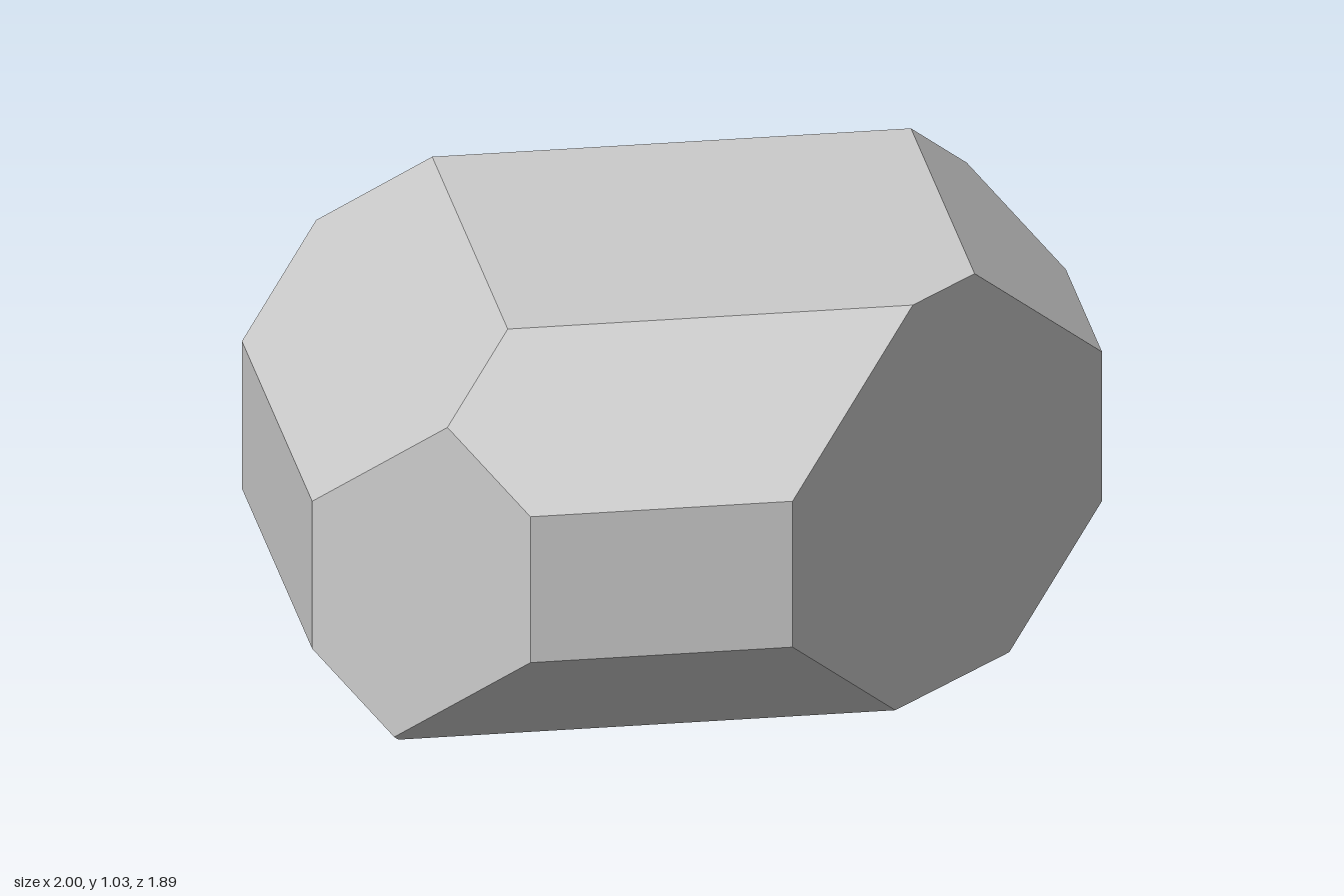
import * as THREE from 'three';

// Facets of the block as [normal x, y, z, offset]: points inside satisfy n . p <= offset
const facets = [
  // axis-aligned sides
  [1, 0, 0, 1], [-1, 0, 0, 1],
  [0, 1, 0, 1.027], [0, -1, 0, 0],
  [0, 0, 1, 0.943], [0, 0, -1, 0.943],
  // 45 degree cuts between sides and top / bottom
  [1, 1, 0, 1.656], [-1, 1, 0, 1.567], [1, -1, 0, 0.73], [-1, -1, 0, 0.815],
  // 45 degree cuts between front / back and top / bottom
  [0, 1, 1, 1.62], [0, 1, -1, 1.579], [0, -1, 1, 0.644], [0, -1, -1, 0.623],
  // 45 degree cuts on the upright corners
  [1, 0, 1, 1.042], [-1, 0, 1, 1.484], [1, 0, -1, 1.506], [-1, 0, -1, 1.58],
].map(([x, y, z, d]) => ({ n: new THREE.Vector3(x, y, z), d }));

// Point shared by three facets, or null when they do not meet in one point
function meet(a, b, c) {
  const bc = b.n.clone().cross(c.n);
  const det = a.n.dot(bc);
  if (Math.abs(det) < 1e-6) return null;
  return bc.multiplyScalar(a.d)
    .addScaledVector(c.n.clone().cross(a.n), b.d)
    .addScaledVector(a.n.clone().cross(b.n), c.d)
    .divideScalar(det);
}

// Corners of the solid: facet intersections that lie inside every facet
function findCorners() {
  const corners = [];
  for (let i = 0; i < facets.length; i++)
    for (let j = i + 1; j < facets.length; j++)
      for (let k = j + 1; k < facets.length; k++) {
        const p = meet(facets[i], facets[j], facets[k]);
        if (!p || facets.some((f) => f.n.dot(p) > f.d + 1e-6)) continue;
        if (!corners.some((q) => q.distanceTo(p) < 1e-5)) corners.push(p);
      }
  return corners;
}

function facetedBlock() {
  const corners = findCorners();
  const positions = [];
  for (const { n, d } of facets) {
    // corners of this facet, ordered counter-clockwise seen from outside
    const ring = corners.filter((p) => Math.abs(n.dot(p) - d) < 1e-5);
    if (ring.length < 3) continue;
    const centre = ring.reduce((s, p) => s.add(p), new THREE.Vector3()).divideScalar(ring.length);
    const u = ring[0].clone().sub(centre).normalize();
    const v = n.clone().normalize().cross(u);
    const angle = (p) => {
      const r = p.clone().sub(centre);
      return Math.atan2(r.dot(v), r.dot(u));
    };
    ring.sort((a, b) => angle(a) - angle(b));
    for (let i = 1; i < ring.length - 1; i++)
      for (const p of [ring[0], ring[i], ring[i + 1]]) positions.push(p.x, p.y, p.z);
  }
  const geometry = new THREE.BufferGeometry();
  geometry.setAttribute('position', new THREE.Float32BufferAttribute(positions, 3));
  geometry.computeVertexNormals();
  return geometry;
}

export function createModel() {
  const group = new THREE.Group();
  group.name = 'facetedStone';
  const material = new THREE.MeshStandardMaterial({ color: 0xcccccc, flatShading: true });
  const stone = new THREE.Mesh(facetedBlock(), material);
  stone.name = 'stone';
  group.add(stone);
  return group;
}
